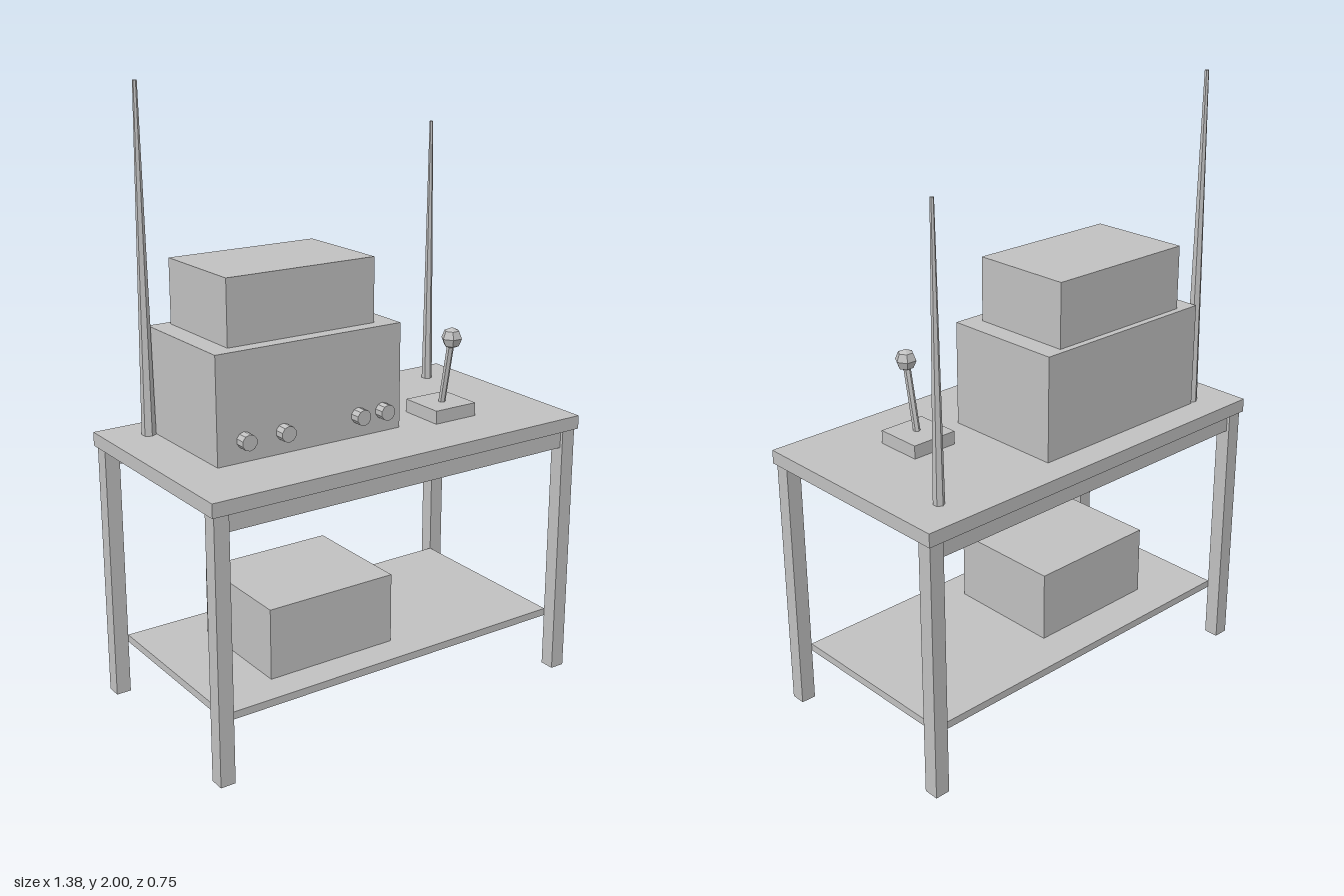
import * as THREE from 'three';

export function createModel() {
  const model = new THREE.Group();
  model.name = 'radioBench';
  const grey = new THREE.MeshStandardMaterial({ color: 0xc0c0c0, flatShading: true });
  grey.name = 'plain grey';

  function add(name, geometry, x = 0, y = 0, z = 0) {
    const mesh = new THREE.Mesh(geometry, grey);
    mesh.name = name;
    mesh.position.set(x, y, z);
    model.add(mesh);
    return mesh;
  }
  // Box given by its extents on each axis
  const block = (name, [x0, x1], [y0, y1], [z0, z1]) =>
    add(name, new THREE.BoxGeometry(x1 - x0, y1 - y0, z1 - z0), (x0 + x1) / 2, (y0 + y1) / 2, (z0 + z1) / 2);

  // Bench
  const top = 0.905;
  block('tableTop', [-0.69, 0.69], [0.86, top], [-0.375, 0.375]);
  for (const sz of [-1, 1]) {
    for (const sx of [-1, 1]) {
      add('leg', new THREE.BoxGeometry(0.05, 0.86, 0.05), sx * 0.656, 0.43, sz * 0.341);
    }
    add('apron', new THREE.BoxGeometry(1.262, 0.06, 0.03), 0, 0.83, sz * 0.341);
  }
  block('shelf', [-0.631, 0.631], [0.18, 0.205], [-0.316, 0.316]);
  block('storedBox', [-0.405, 0.055], [0.205, 0.44], [-0.185, 0.21]);

  // Stacked radio cabinets
  block('lowerCabinet', [-0.533, 0.135], [top, 1.25], [-0.278, 0.136]);
  block('upperCabinet', [-0.464, 0.066], [1.25, 1.46], [-0.256, 0.09]);
  for (const x of [-0.441, -0.303, -0.026, 0.066]) {
    add('knob', new THREE.CylinderGeometry(0.026, 0.026, 0.035, 10), x, 0.975, 0.1535).rotation.x = Math.PI / 2;
  }

  // Desk microphone with its stem leaning forward
  block('microphoneBase', [0.25, 0.411], [top, 0.949], [0.021, 0.181]);
  const foot = new THREE.Vector3(0.331, 0.945, 0.106);
  const head = new THREE.Vector3(0.331, 1.173, 0.15);
  const lean = head.clone().sub(foot);
  const middle = foot.clone().add(head).multiplyScalar(0.5);
  const stem = add('microphoneStem', new THREE.CylinderGeometry(0.0115, 0.0115, lean.length(), 6), ...middle.toArray());
  stem.quaternion.setFromUnitVectors(new THREE.Vector3(0, 1, 0), lean.normalize());
  add('microphoneHead', new THREE.SphereGeometry(0.035, 6, 4), ...head.toArray());

  // Tapered aerials
  for (const [name, x, tip, r0, r1] of [
    ['tallAerial', -0.555, 2, 0.023, 0.007],
    ['shortAerial', 0.552, 1.808, 0.018, 0.006],
  ]) {
    add(name, new THREE.CylinderGeometry(r1, r0, tip - top, 6), x, (tip + top) / 2, -0.256);
  }
  return model;
}
